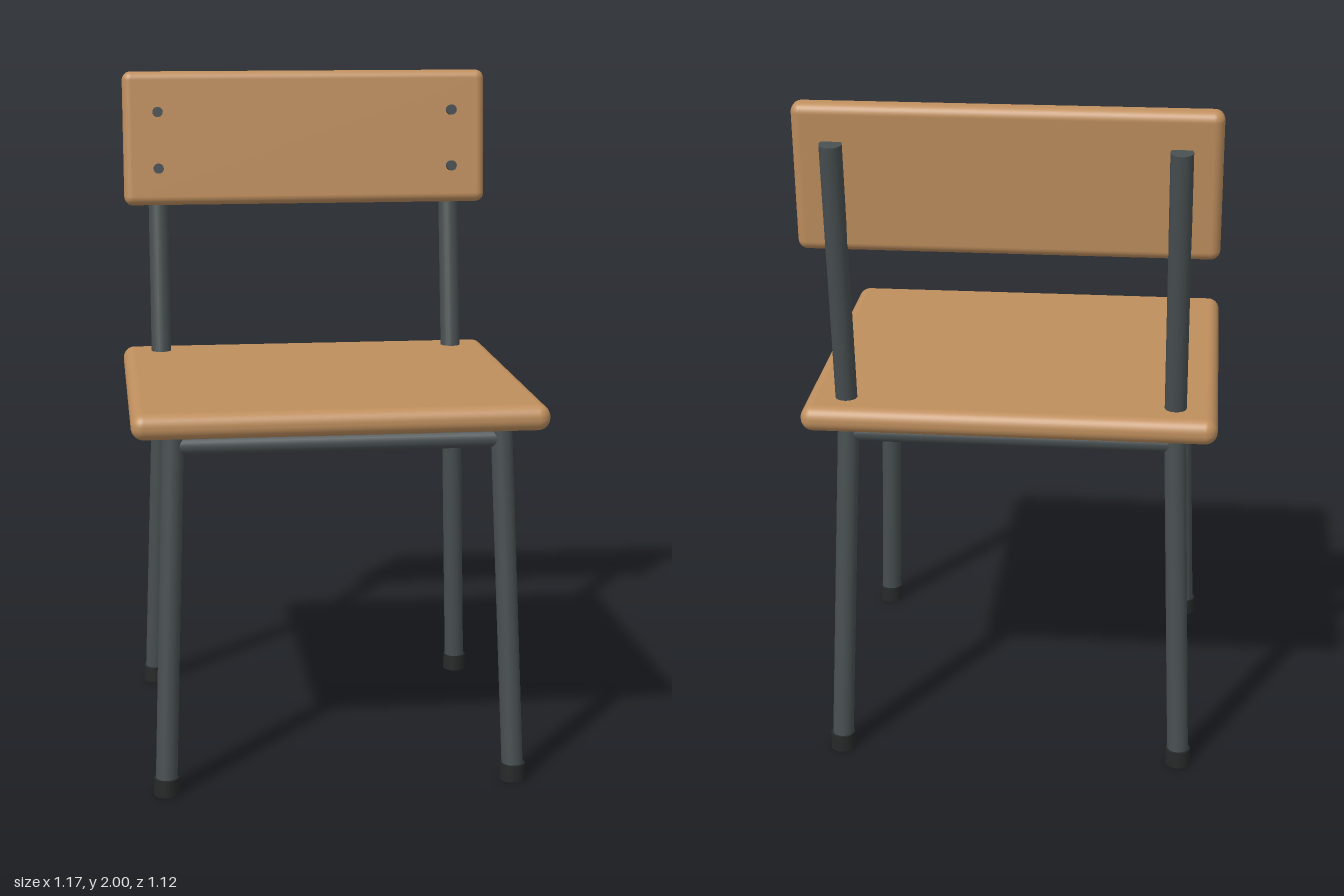
import * as THREE from 'three';
import { RoundedBoxGeometry } from 'three/addons/geometries/RoundedBoxGeometry.js';

export function createModel() {
  const chair = new THREE.Group();
  chair.name = 'chair';

  const material = (name, color) => {
    const m = new THREE.MeshStandardMaterial({ color });
    m.name = name;
    return m;
  };
  const wood = material('wood', 0xbf8f5e);
  const steel = material('dark steel', 0x484f51);
  const rubber = material('black rubber', 0x262929);

  const add = (name, geometry, mat, parent = chair) => {
    const mesh = new THREE.Mesh(geometry, mat);
    mesh.name = name;
    parent.add(mesh);
    return mesh;
  };

  // Straight round tube between two points
  const tube = (name, from, to, radius) => {
    const a = new THREE.Vector3(...from);
    const b = new THREE.Vector3(...to);
    const dir = b.clone().sub(a);
    const mesh = add(name, new THREE.CylinderGeometry(radius, radius, dir.length(), 24), steel);
    mesh.position.copy(a).add(b).multiplyScalar(0.5);
    mesh.quaternion.setFromUnitVectors(new THREE.Vector3(0, 1, 0), dir.normalize());
    return mesh;
  };

  // Seat board with fully rounded edges
  add('seat', new RoundedBoxGeometry(1.174, 0.074, 1.078, 5, 0.035), wood).position.set(0, 1.086, 0.023);

  // Backrest board, leaning back, with its four bolts
  const backrest = new THREE.Group();
  backrest.name = 'backrest';
  backrest.position.set(0, 1.791, -0.471);
  backrest.rotation.x = -0.087;
  chair.add(backrest);
  add('backrestBoard', new RoundedBoxGeometry(1.15, 0.418, 0.066, 5, 0.027), wood, backrest);
  for (const x of [-0.466, 0.466]) {
    for (const y of [-0.094, 0.082]) {
      const bolt = add('bolt', new THREE.CylinderGeometry(0.016, 0.016, 0.03, 16), steel, backrest);
      bolt.rotation.x = Math.PI / 2;
      bolt.position.set(x, y, 0.038);
    }
  }

  // Splayed legs with rubber feet, and back uprights
  const R = 0.031;
  const topX = 0.468;
  const frontZ = 0.434;
  const backZ = -0.388;
  for (const side of [-1, 1]) {
    for (const [name, topZ, footZ] of [['front', frontZ, 0.508], ['back', backZ, -0.458]]) {
      tube(name + 'Leg', [side * 0.505, 0.02, footZ], [side * topX, 1.035, topZ], R);
      add(name + 'Foot', new THREE.CylinderGeometry(0.036, 0.037, 0.05, 24), rubber)
        .position.set(side * 0.505, 0.025, footZ);
    }
    tube('backUpright', [side * topX, 1.035, -0.396], [side * 0.466, 1.894, -0.528], R);
    tube('sideRail', [side * topX, 1.013, frontZ], [side * topX, 1.013, backZ], R);
  }

  // Cross rails under the seat
  for (const [name, z] of [['frontRail', frontZ], ['backRail', backZ]]) {
    tube(name, [-topX, 1.008, z], [topX, 1.008, z], 0.027);
  }

  return chair;
}
